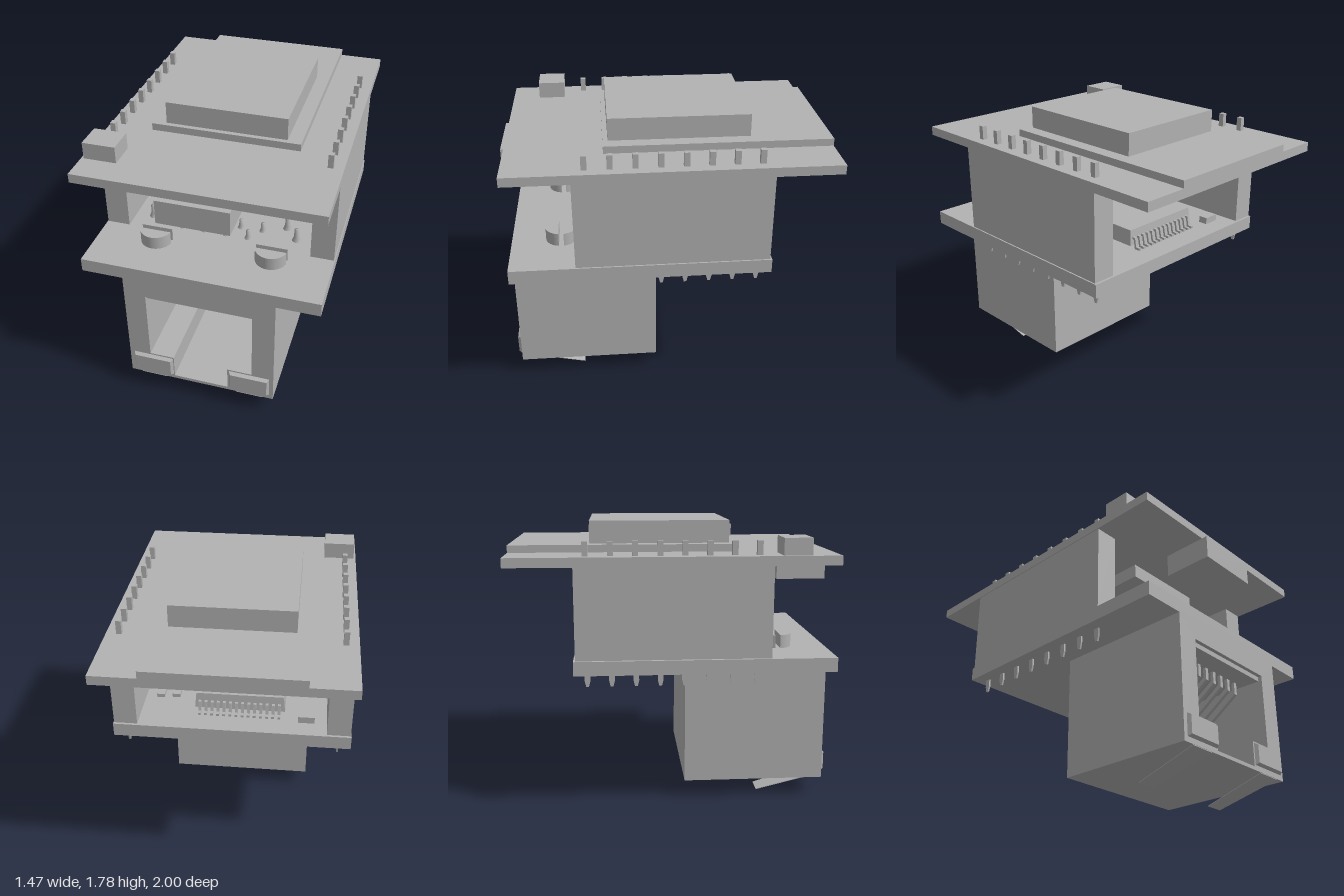
import * as THREE from 'three';

export function createModel() {
  const model = new THREE.Group();
  const grey = new THREE.MeshStandardMaterial({ color: 0xb2b2b2, side: THREE.DoubleSide });
  grey.name = 'plain grey';
  grey.flatShading = false;

  const add = (name, geo, x = 0, y = 0, z = 0) => {
    const m = new THREE.Mesh(geo, grey);
    m.name = name;
    m.position.set(x, y, z);
    model.add(m);
    return m;
  };
  // Box given by its limits on each axis
  const box = (name, x0, x1, y0, y1, z0, z1) =>
    add(name, new THREE.BoxGeometry(x1 - x0, y1 - y0, z1 - z0), (x0 + x1) / 2, (y0 + y1) / 2, (z0 + z1) / 2);
  // Frustum with a rectangular section; bottom and top sizes, depth along y
  const frustum = (w0, d0, w1, d1, h) => {
    const g = new THREE.BoxGeometry(1, h, 1);
    const p = g.attributes.position;
    for (let i = 0; i < p.count; i++) {
      const top = p.getY(i) > 0;
      p.setX(i, p.getX(i) * (top ? w1 : w0));
      p.setZ(i, p.getZ(i) * (top ? d1 : d0));
    }
    const flat = g.toNonIndexed();
    flat.computeVertexNormals();
    return flat;
  };

  // Upper board and what it carries
  box('upperBoard', -0.735, 0.735, 1.54, 1.597, -1, 0.965);
  box('radioBoard', -0.46, 0.458, 1.597, 1.642, -1, 0.377);
  box('radioShield', -0.377, 0.372, 1.642, 1.78, -0.512, 0.347);
  box('resetButton', -0.72, -0.52, 1.597, 1.7, 0.62, 0.79);
  box('cableSocket', -0.215, 0.215, 1.39, 1.54, 0.685, 1);
  box('lowerChip', -0.287, 0.284, 1.45, 1.54, 0.24, 0.47);

  // Lower board, spacer sockets and header pins
  box('lowerBoard', -0.735, 0.735, 0.9, 0.987, -0.612, 0.965);
  for (const s of [-1, 1]) {
    box('pinSocket', s < 0 ? -0.73 : 0.585, s < 0 ? -0.585 : 0.73, 0.99, 1.54, -0.6, 0.567);
    for (let i = 0; i < 8; i++) {
      const z = 0.49 - i * 0.146;
      box('headerPin', s * 0.657 - 0.016, s * 0.657 + 0.016, 1.59, 1.682, z - 0.017, z + 0.017);
      box('socketLeg', s * 0.657 - 0.006, s * 0.657 + 0.006, 0.85, 1.0, z - 0.017, z + 0.017);
      add('socketLegTip', frustum(0.012, 0.016, 0.012, 0.034, 0.036), s * 0.657, 0.832, z);
    }
  }

  // Network jack: stepped opening run through the front, closed by a back block
  const face = new THREE.Shape();
  face.moveTo(-0.475, 0.12).lineTo(0.472, 0.12).lineTo(0.472, 0.9).lineTo(-0.475, 0.9).closePath();
  const hole = new THREE.Path();
  [[-0.18, 0.142], [-0.18, 0.3], [-0.337, 0.3], [-0.337, 0.78], [0.333, 0.78], [0.333, 0.3], [0.175, 0.3], [0.175, 0.142]]
    .forEach(([x, y], i) => (i ? hole.lineTo(x, y) : hole.moveTo(x, y)));
  hole.closePath();
  face.holes.push(hole);
  add('jackHousing', new THREE.ExtrudeGeometry(face, { depth: 0.665, bevelEnabled: false }), 0, 0, 0.3);
  box('jackBack', -0.475, 0.472, 0.12, 0.9, 0.07, 0.3);
  box('contactBar', -0.337, 0.333, 0.75, 0.78, 0.3, 0.94);

  // Slanted spring contacts hanging from the bar
  const spring = new THREE.Shape();
  spring.moveTo(0.82, 0.75).lineTo(0.82, 0.67).lineTo(0.45, 0.41)
    .lineTo(0.43, 0.43).lineTo(0.8, 0.69).lineTo(0.8, 0.75).closePath();
  const springGeo = new THREE.ExtrudeGeometry(spring, { depth: 0.024, bevelEnabled: false });
  springGeo.rotateY(-Math.PI / 2);
  for (let i = 0; i < 8; i++) add('springContact', springGeo, -0.248 + i * 0.073);

  // Bevelled lamps and bent shield tabs
  for (const s of [-1, 1]) {
    const lamp = add('statusLamp', frustum(0.262, 0.138, 0.236, 0.112, 0.022), s * 0.316, 0.222, 0.975);
    lamp.rotation.x = Math.PI / 2;
    const tab = new THREE.Shape();
    tab.moveTo(-0.085, 0).lineTo(0.085, 0).lineTo(0.06, 0.425).lineTo(-0.06, 0.425).closePath();
    const shieldTab = add('shieldTab', new THREE.ExtrudeGeometry(tab, { depth: 0.004, bevelEnabled: false }),
      s * 0.318, 0.115, 0.965);
    shieldTab.rotation.x = -Math.PI / 2 - Math.atan2(0.112, 0.41);
  }

  // Split round pegs of the jack, poking through the board
  for (const s of [-1, 1]) {
    const half = new THREE.Shape();
    const a = 0.16;
    half.absarc(0, 0, 0.098, a, Math.PI - a, false);
    half.closePath();
    const pegGeo = new THREE.ExtrudeGeometry(half, { depth: 0.085, bevelEnabled: false, curveSegments: 20 });
    pegGeo.rotateX(-Math.PI / 2);
    for (const turn of [0, Math.PI]) {
      const peg = add('splitPeg', pegGeo, s * 0.364, 0.985, 0.655);
      peg.rotation.y = turn;
    }
  }

  // Soldered jack pins: two staggered rows, plus larger lamp pins
  const pinGeo = new THREE.LatheGeometry(
    [[0.024, 0], [0.014, 0.022], [0.013, 0.06], [0, 0.06]].map(([x, y]) => new THREE.Vector2(x, y)), 10);
  for (let i = 0; i < 8; i++) add('jackPin', pinGeo, -0.25 + i * 0.071, 0.987, i % 2 ? 0.395 : 0.49);
  for (const s of [-1, 1]) {
    for (const [x, z] of [[0.47, 0.43], [0.39, 0.33]]) add('lampPin', pinGeo, s * x, 0.987, z).scale.set(1.2, 1.4, 1.2);
  }

  // Network chip with two rows of bent legs
  add('networkChip', frustum(0.57, 0.31, 0.55, 0.29, 0.1), -0.036, 1.06, -0.26);
  const leg = new THREE.Shape();
  leg.moveTo(0, 0.075).lineTo(0.03, 0.075).lineTo(0.042, 0.015).lineTo(0.068, 0.015)
    .lineTo(0.068, 0).lineTo(0.03, 0).lineTo(0.02, 0.06).lineTo(0, 0.06).closePath();
  const legGeo = new THREE.ExtrudeGeometry(leg, { depth: 0.018, bevelEnabled: false });
  legGeo.translate(0, 0, -0.009);
  for (let i = 0; i < 14; i++) {
    for (const s of [-1, 1]) {
      add('chipLeg', legGeo, -0.285 + i * 0.0385, 0.987, -0.26 + s * 0.14).rotation.y = -s * Math.PI / 2;
    }
  }

  // Small surface parts
  box('smallPart', 0.465, 0.515, 0.987, 1.012, -0.3, -0.2);
  box('smallPart', 0.365, 0.415, 0.987, 1.012, -0.29, -0.19);
  box('smallPart', -0.508, -0.405, 0.987, 1.03, -0.49, -0.43);

  return model;
}
